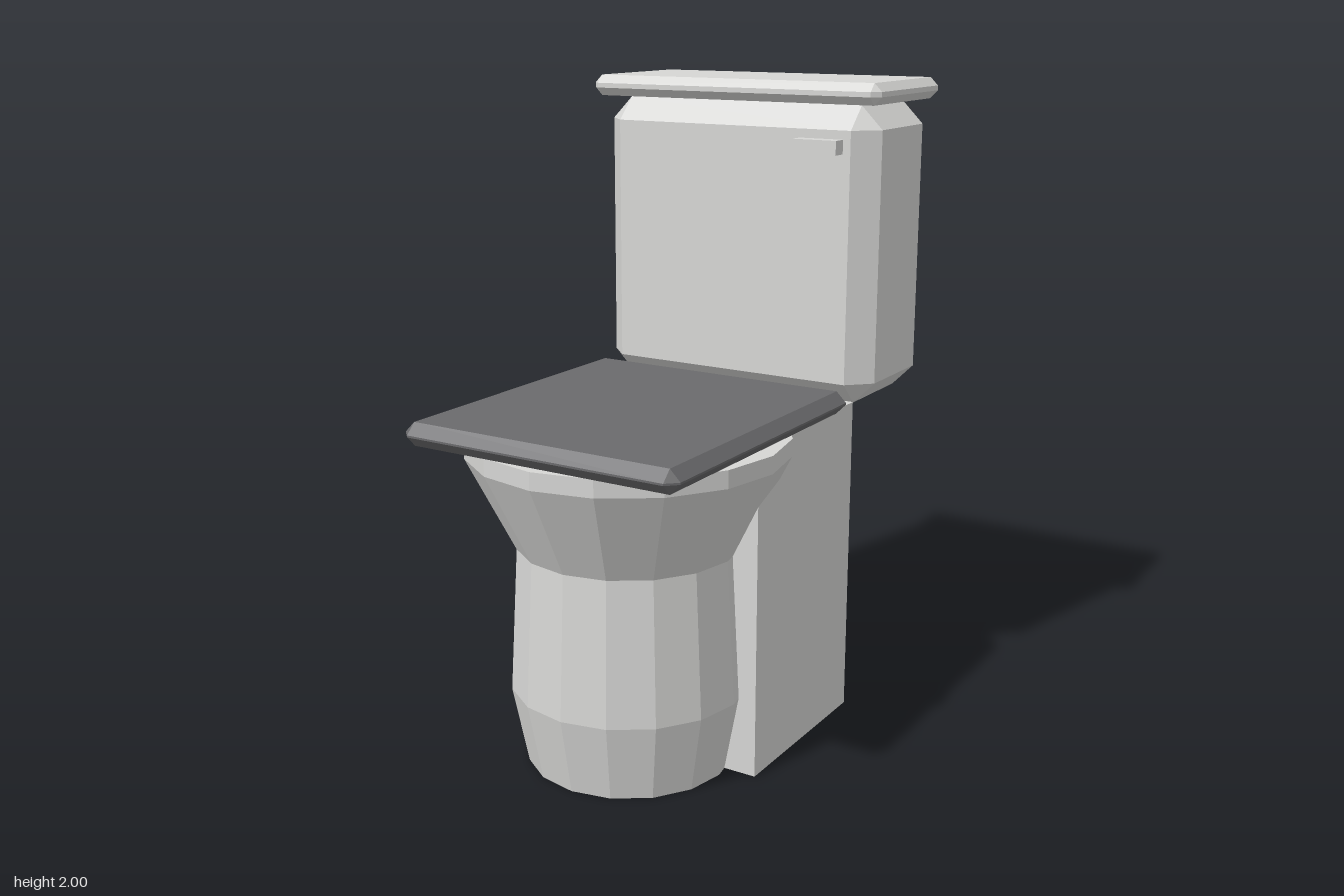
import * as THREE from 'three';
import { ConvexGeometry } from 'three/addons/geometries/ConvexGeometry.js';

const porcelain = new THREE.MeshStandardMaterial({ color: 0xd6d6d4, flatShading: true });
porcelain.name = 'porcelain';
const darkSeat = new THREE.MeshStandardMaterial({ color: 0x6a6a6c, flatShading: true });
darkSeat.name = 'darkSeat';

// Box between two corners, with every edge and corner chamfered by c
function chamferBox(min, max, c) {
  const mid = min.map((v, i) => (v + max[i]) / 2);
  const half = min.map((v, i) => (max[i] - v) / 2);
  const points = [];
  for (const sx of [-1, 1]) for (const sy of [-1, 1]) for (const sz of [-1, 1]) {
    const s = [sx, sy, sz];
    for (let axis = 0; axis < 3; axis++) {
      points.push(new THREE.Vector3(...s.map((k, i) => mid[i] + k * (half[i] - (i === axis ? 0 : c)))));
    }
  }
  return new ConvexGeometry(points);
}

// Plain box between two corners
function plainBox(min, max) {
  const size = max.map((v, i) => v - min[i]);
  return new THREE.BoxGeometry(...size).translate(...min.map((v, i) => v + size[i] / 2));
}

export function createModel() {
  const group = new THREE.Group();
  group.name = 'toilet';
  const add = (name, geometry, material) => {
    const mesh = new THREE.Mesh(geometry, material);
    mesh.name = name;
    group.add(mesh);
  };

  // Rear pedestal block
  add('pedestal', plainBox([-0.41, 0, -0.38], [0.41, 1.02, 0.22]), porcelain);

  // Sixteen-sided bowl, closed at floor and rim
  const profile = [[0, 0], [0.315, 0], [0.362, 0.24], [0.337, 0.68], [0.48, 0.965], [0.48, 1.018], [0, 1.018]]
    .map(([r, y]) => new THREE.Vector2(r, y));
  add('bowl', new THREE.LatheGeometry(profile, 16).translate(0, 0, 0.265), porcelain);

  // Closed seat lid
  add('seat', chamferBox([-0.457, 1.018, -0.265], [0.457, 1.088, 0.745], 0.032), darkSeat);

  // Water tank, its lid and flush handle
  add('tank', chamferBox([-0.48, 1.018, -0.745], [0.48, 1.93, -0.312], 0.07), porcelain);
  add('tankLid', chamferBox([-0.505, 1.935, -0.75], [0.505, 2, -0.29], 0.025), porcelain);
  add('flushHandle', plainBox([0.24, 1.79, -0.32], [0.385, 1.833, -0.265]), porcelain);

  return group;
}
